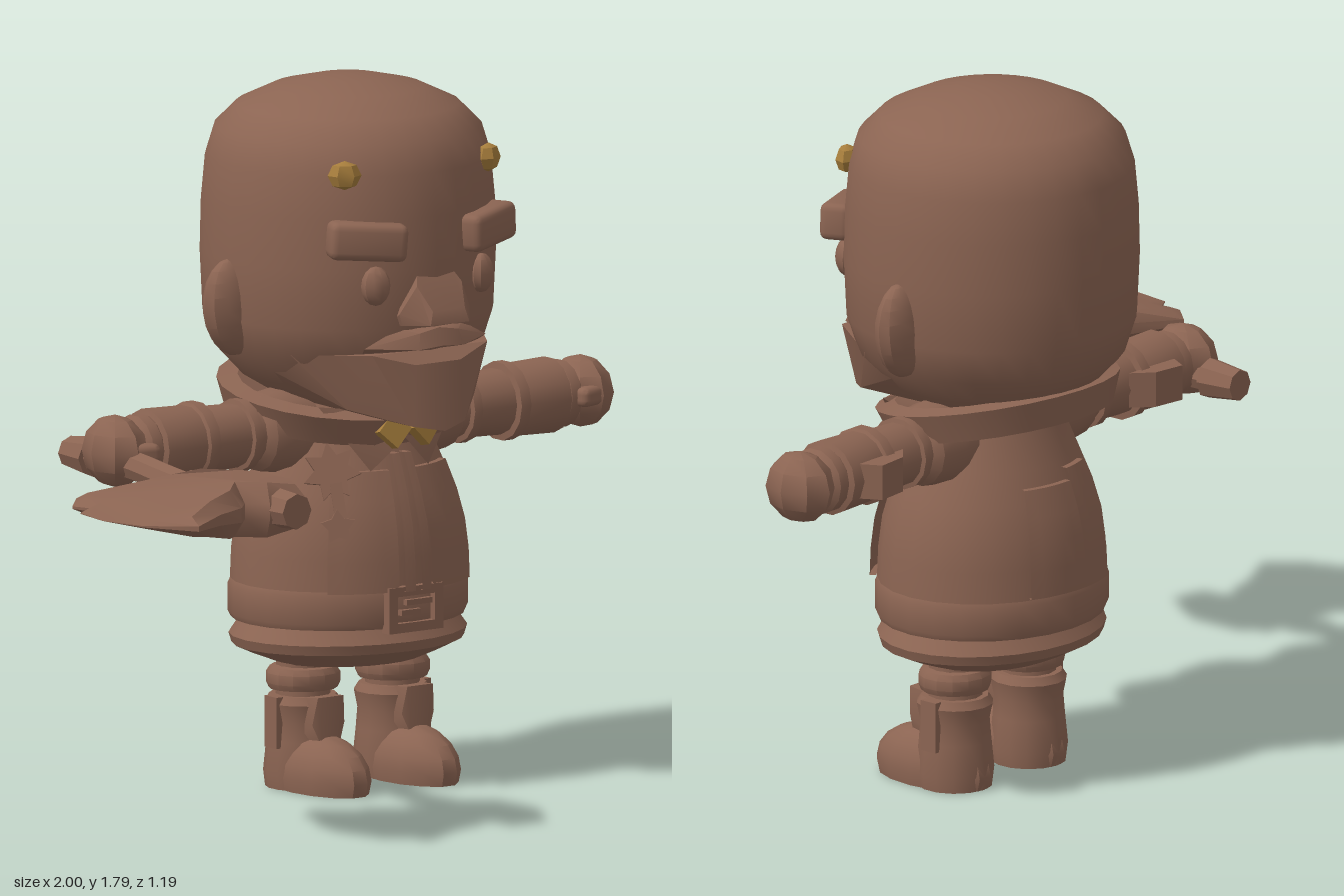
import * as THREE from 'three';
import { toCreasedNormals } from 'three/addons/utils/BufferGeometryUtils.js';
import { RoundedBoxGeometry } from 'three/addons/geometries/RoundedBoxGeometry.js';
import { ConvexGeometry } from 'three/addons/geometries/ConvexGeometry.js';

const V2 = (p) => new THREE.Vector2(p[0], p[1]);
const V3 = (p) => new THREE.Vector3(p[0], p[1], p[2]);

export function createModel() {
  const model = new THREE.Group();
  const brown = new THREE.MeshStandardMaterial({ color: 0x8b6452, side: THREE.DoubleSide });
  brown.name = 'clay brown';
  const gold = new THREE.MeshStandardMaterial({ color: 0xa67d3c });
  gold.name = 'gold';

  // The figure stands off-centre so the axe fits; its axis is the group origin
  const figure = new THREE.Group();
  figure.name = 'figure';
  figure.position.set(0.2, 0, -0.225);
  model.add(figure);

  const add = (name, geo, pos = [0, 0, 0], rot = [0, 0, 0], parent = figure, mat = brown) => {
    const mesh = new THREE.Mesh(toCreasedNormals(geo, 0.6), mat);
    mesh.name = name;
    mesh.position.set(...pos);
    mesh.rotation.set(...rot);
    parent.add(mesh);
    return mesh;
  };
  // Profile points are [radius, y], listed from bottom to top
  const lathe = (pts, zScale = 1, seg = 24, start = 0, len = Math.PI * 2) =>
    new THREE.LatheGeometry(pts.map(V2), seg, start, len).scale(1, 1, zScale);
  const hull = (pts) => new ConvexGeometry(pts.map(V3));
  const mirrored = (pts) => hull([...pts, ...pts.map(([x, y, z]) => [-x, y, z])]);

  // Head
  add('head', lathe([[0, 0.96], [0.17, 0.98], [0.27, 1.04], [0.335, 1.11], [0.364, 1.2], [0.371, 1.35],
    [0.368, 1.48], [0.358, 1.59], [0.335, 1.665], [0.28, 1.72], [0.19, 1.762], [0.09, 1.785], [0, 1.79]], 1, 32));
  add('beard', mirrored([[0.18, 1.14, 0.34], [0.3, 1.13, 0.16], [0.33, 1.11, 0], [0.07, 1.11, 0.375],
    [0, 0.94, 0.405], [0.08, 0.955, 0.38], [0.2, 0.995, 0.26], [0.25, 1.03, 0.05], [0.14, 0.975, 0]]));
  add('upperLip', mirrored([[0, 1.2, 0.38], [0.06, 1.19, 0.38], [0.19, 1.155, 0.32], [0, 1.155, 0.395],
    [0.07, 1.15, 0.39], [0.18, 1.14, 0.3], [0.1, 1.2, 0.34]]));
  add('nose', mirrored([[0.055, 1.34, 0.36], [0.07, 1.31, 0.38], [0.11, 1.24, 0.36], [0.1, 1.21, 0.36],
    [0.06, 1.215, 0.425], [0.05, 1.25, 0.42], [0.06, 1.33, 0.3], [0.1, 1.21, 0.3]]));
  for (const s of [1, -1]) {
    add('eye', new THREE.SphereGeometry(1, 10, 8).scale(0.038, 0.05, 0.03), [s * 0.165, 1.315, 0.335], [0, s * 0.4, 0]);
    add('eyebrow', new RoundedBoxGeometry(0.2, 0.095, 0.08, 2, 0.02), [s * 0.185, 1.43, 0.325], [0, s * 0.42, s * 0.07]);
    add('browStud', new THREE.SphereGeometry(1, 6, 4).scale(0.043, 0.037, 0.028),
      [s * 0.225, 1.595, 0.285], [0, s * 0.5, 0], figure, gold);
    add('ear', new THREE.SphereGeometry(1, 12, 10).scale(0.09, 0.125, 0.05), [s * 0.35, 1.235, -0.01], [0, 0, -s * 0.12]);
  }

  // Torso: the same profile drives the coat panels laid over it
  const torso = [[0.31, 0.5], [0.306, 0.6], [0.295, 0.68], [0.27, 0.76], [0.235, 0.84], [0.2, 0.92], [0.17, 1.0]];
  const radiusAt = (y) => {
    const i = Math.max(1, torso.findIndex((p) => p[1] >= y));
    const [a, b] = [torso[i - 1], torso[i]];
    return a[0] + (b[0] - a[0]) * (y - a[1]) / (b[1] - a[1]);
  };
  const panel = (name, from, to, y0, y1, thick) => {
    const pts = [[radiusAt(y0), y0]];
    for (let i = 0; i <= 4; i++) {
      const y = y0 + (y1 - y0) * i / 4;
      pts.push([radiusAt(y) + thick, y]);
    }
    pts.push([radiusAt(y1), y1]);
    add(name, lathe(pts, 0.88, 5, from, to - from));
  };
  add('torso', lathe(torso, 0.87));
  for (const s of [1, -1]) {
    const span = (a, b) => (s > 0 ? [a, b] : [-b, -a]);
    panel('coatFront', ...span(0.16, 0.75), 0.52, 0.82, 0.018);
    panel('placket', ...span(0.03, 0.12), 0.52, 0.86, 0.028);
  }
  panel('backPanel', Math.PI - 0.46, Math.PI + 0.1, 0.53, 0.8, 0.018);
  panel('backPanel', Math.PI + 0.1, Math.PI + 0.46, 0.53, 0.83, 0.018);

  // Collar, lapels and bow
  add('collar', lathe([[0.2, -0.05], [0.305, -0.045], [0.335, 0.03], [0.28, 0.04], [0.2, 0]], 0.86),
    [0, 0.975, -0.025], [0.18, 0, 0]);
  for (const s of [1, -1]) {
    add('lapel', hull([[0, 0.9, 0.24], [s * 0.09, 0.82, 0.215], [s * 0.13, 0.88, 0.2], [s * 0.22, 0.99, 0.17],
      [s * 0.06, 0.97, 0.2], [s * 0.1, 0.9, 0.12]]));
    add('bowHalf', new THREE.BoxGeometry(0.065, 0.065, 0.03), [s * 0.047, 0.925, 0.25], [-0.2, s * 0.15, Math.PI / 4], figure, gold);
  }

  // Belt, buckle and hem
  add('belt', lathe([[0.28, 0.425], [0.308, 0.425], [0.315, 0.44], [0.315, 0.51], [0.308, 0.525], [0.28, 0.525]], 0.87));
  const rect = (T, w, h) => new T([[-w, -h], [w, -h], [w, h], [-w, h]].map(V2));
  const frame = rect(THREE.Shape, 0.085, 0.058);
  frame.holes.push(rect(THREE.Path, 0.058, 0.034));
  add('buckle', new THREE.ExtrudeGeometry(frame, { depth: 0.03, bevelEnabled: false }), [0, 0.473, 0.255]);
  for (const [x, y, w] of [[0.01, 0.49, 0.08], [-0.015, 0.465, 0.06]]) {
    add('buckleTongue', new THREE.BoxGeometry(w, 0.014, 0.02), [x, y, 0.275]);
  }
  add('hem', lathe([[0, 0.34], [0.15, 0.34], [0.2, 0.315], [0.265, 0.34], [0.31, 0.36], [0.318, 0.385], [0.285, 0.43]], 0.82));

  // Badge with hanging star
  const star = (points, r) => {
    const pts = [];
    for (let i = 0; i < points * 2; i++) {
      const a = i * Math.PI / points, q = i % 2 ? r * 0.58 : r;
      pts.push(new THREE.Vector2(q * Math.sin(a), q * Math.cos(a)));
    }
    return new THREE.ExtrudeGeometry(new THREE.Shape(pts), { depth: 0.025, bevelEnabled: false });
  };
  add('badge', star(7, 0.075), [-0.175, 0.82, 0.165], [-0.3, -0.6, 0]);
  add('badgeRibbon', new THREE.BoxGeometry(0.03, 0.12, 0.02), [-0.185, 0.74, 0.21], [-0.25, -0.6, 0]);
  add('badgePendant', star(5, 0.045), [-0.19, 0.69, 0.212], [-0.15, -0.6, 0]);

  // Arms along the x axis
  for (const s of [1, -1]) {
    const arm = new THREE.Group();
    arm.name = s > 0 ? 'leftArm' : 'rightArm';
    arm.position.set(0, 0.91, 0);
    figure.add(arm);
    const along = (name, pts) => add(name, lathe(pts, 1, 14), [0, 0, 0], [0, 0, -s * Math.PI / 2], arm);
    along('shoulder', [[0, 0.1], [0.1, 0.13], [0.108, 0.22], [0.098, 0.29], [0.075, 0.31], [0, 0.31]]);
    along('sleeve', [[0.072, 0.27], [0.08, 0.34], [0.084, 0.46], [0.08, 0.5]]);
    along('sleeveCuff', [[0.07, 0.325], [0.092, 0.33], [0.092, 0.355], [0.07, 0.36]]);
    along('bracer', [[0.07, 0.465], [0.1, 0.47], [0.1, 0.5], [0.092, 0.505], [0.096, 0.63], [0.07, 0.64]]);
    along('wrist', [[0.07, 0.62], [0.085, 0.64], [0.085, 0.67], [0.06, 0.69]]);
    add('bracerGuard', hull([-0.045, 0.045].flatMap((y) => [[s * 0.43, y, -0.08], [s * 0.48, y, -0.125],
      [s * 0.57, y, -0.135], [s * 0.6, y, -0.08]])), [0, 0, 0], [0, 0, 0], arm);
    add('fist', new THREE.SphereGeometry(1, 8, 6).scale(0.075, 0.092, 0.098), [s * 0.728, 0, 0], [0, 0, 0], arm);
    add('thumb', new RoundedBoxGeometry(0.09, 0.05, 0.05, 2, 0.018), [s * 0.7, 0, 0.075], [0, s * 0.3, 0], arm);
  }

  // Legs and boots
  for (const s of [1, -1]) {
    const leg = new THREE.Group();
    leg.name = s > 0 ? 'leftLeg' : 'rightLeg';
    leg.position.x = s * 0.14;
    figure.add(leg);
    const part = (name, geo, pos, rot) => add(name, geo, pos, rot, leg);
    part('trouser', lathe([[0.07, 0.2], [0.068, 0.36]], 1, 12));
    part('bootCuff', lathe([[0.06, 0.245], [0.088, 0.25], [0.095, 0.265], [0.095, 0.29], [0.085, 0.305], [0.06, 0.31]], 0.95, 14));
    part('bootShaft', lathe([[0.095, 0], [0.1, 0.04], [0.092, 0.12], [0.088, 0.17], [0.097, 0.215], [0.085, 0.235], [0.06, 0.235]], 1, 14));
    // Upper half of a rounded form, flattened on the ground
    const foot = new THREE.SphereGeometry(1, 14, 10);
    const p = foot.attributes.position;
    for (let i = 0; i < p.count; i++) {
      const y = p.getY(i), z = p.getZ(i);
      p.setXYZ(i, p.getX(i) * 0.094, y < -0.3 ? 0 : (y + 0.3) * 0.11, z * 0.175);
    }
    part('foot', foot, [0, 0, 0.07]);
    part('shinGuard', hull([-1, 1].flatMap((k) => [[k * 0.045, 0.235, 0.06], [k * 0.04, 0.24, 0.115],
      [k * 0.05, 0.17, 0.105], [k * 0.025, 0.11, 0.115], [k * 0.05, 0.13, 0.05]])));
    part('sideStrap', new THREE.BoxGeometry(0.02, 0.13, 0.05), [s * 0.092, 0.17, 0]);
  }

  // Axe lying flat, handle along z
  const axe = new THREE.Group();
  axe.name = 'axe';
  model.add(axe);
  const curve = new THREE.CatmullRomCurve3([[-0.52, 0.88, -0.4], [-0.52, 0.88, -0.15], [-0.53, 0.87, -0.02],
    [-0.548, 0.865, 0.12], [-0.543, 0.865, 0.5]].map(V3));
  add('handle', new THREE.TubeGeometry(curve, 20, 0.038, 8), [0, 0, 0], [0, 0, 0], axe);
  for (const [name, r0, r1, len, x, y, z] of [['handleButt', 0.04, 0.052, 0.1, -0.52, 0.88, -0.37],
    ['handleCollar', 0.052, 0.045, 0.06, -0.545, 0.865, 0.14], ['handleTip', 0.045, 0.05, 0.07, -0.543, 0.865, 0.515]]) {
    add(name, new THREE.CylinderGeometry(r0, r1, len, 8), [x, y, z], [name === 'handleButt' ? -Math.PI / 2 : Math.PI / 2, 0, 0], axe);
  }
  const outline = [[-0.42, 0.25], [-0.46, 0.19], [-0.59, 0.18], [-0.67, 0.18], [-0.88, 0.08], [-0.945, 0.15], [-0.93, 0.2],
    [-0.98, 0.23], [-1, 0.35], [-0.97, 0.48], [-0.88, 0.59], [-0.76, 0.52], [-0.675, 0.495], [-0.635, 0.455],
    [-0.59, 0.5], [-0.47, 0.5], [-0.42, 0.4]];
  const blade = new THREE.ExtrudeGeometry(new THREE.Shape(outline.map(V2)), {
    depth: 0.04, bevelEnabled: true, bevelThickness: 0.05, bevelSize: 0.03, bevelOffset: -0.03, bevelSegments: 1 });
  blade.translate(0, 0, -0.02).rotateX(Math.PI / 2);
  // Thin the blade toward its cutting edge
  const b = blade.attributes.position;
  for (let i = 0; i < b.count; i++) {
    const x = b.getX(i);
    b.setY(i, b.getY(i) * (x < -0.65 ? Math.max(0.02, (x + 1) / 0.35) : x > -0.5 ? 0.8 : 1));
  }
  add('axeHead', blade, [0, 0.862, 0], [0, 0, 0], axe);

  return model;
}
